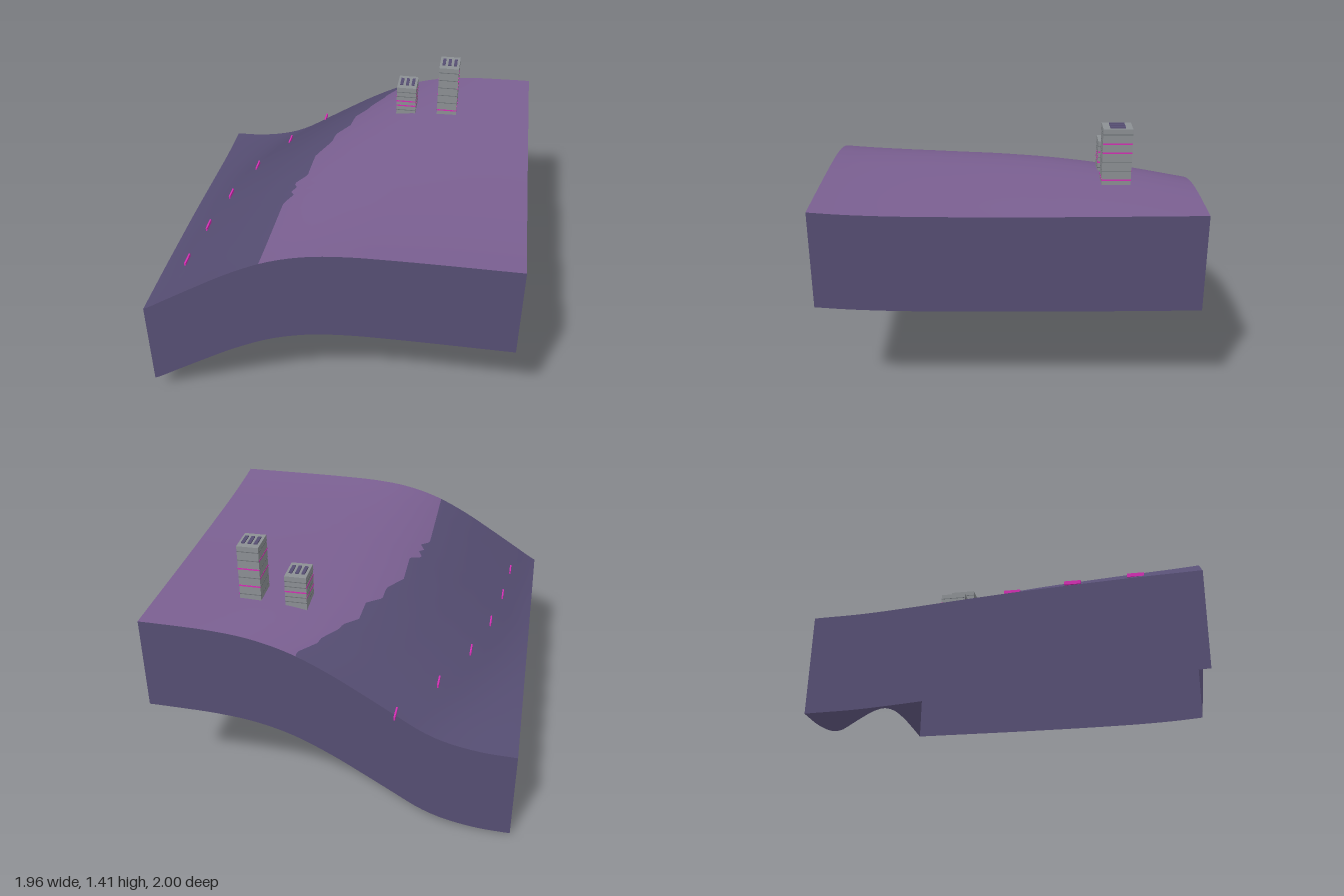
import * as THREE from 'three';

const X = 0.98, Z0 = -0.96, Z1 = 1.0, SKIRT = 0.52;
const ROWS = 98, HALF = 24, COLS = HALF * 2;

const interp = (Type, at, values) => {
  const f = new Type(new Float32Array(at), new Float32Array(values), 1);
  return (t) => f.evaluate(t)[0];
};

// Cross-section of the slope, its sideways shift along z, and a slight rise at the front
const slope = interp(THREE.CubicInterpolant,
  [-0.98, -0.8, -0.6, -0.48, -0.35, -0.2, 0, 0.2, 0.4, 0.6, 0.8, 1.5],
  [0, 0.008, 0.048, 0.098, 0.178, 0.272, 0.392, 0.488, 0.545, 0.569, 0.576, 0.58]);
const shift = interp(THREE.CubicInterpolant,
  [-0.96, -0.64, -0.31, 0.02, 0.35, 0.67, 1.0],
  [0, -0.18, -0.32, -0.405, -0.45, -0.48, -0.495]);
const rise = interp(THREE.CubicInterpolant,
  [-0.96, -0.2, 0.5, 0.7, 0.85, 1.0],
  [0.002, -0.005, -0.003, 0.002, 0.009, 0.02]);
const height = (x, z) => {
  const f = slope(x - shift(z));
  return SKIRT + f + rise(z) * f / 0.58;
};

// Ragged border between the two ground colours
const border = interp(THREE.LinearInterpolant,
  [-0.96, -0.93, -0.82, -0.78, -0.67, -0.63, -0.54, -0.4, -0.31, -0.21, -0.06, 0.17, 0.23, 0.28, 0.32, 0.36, 0.43, 1.0],
  [0.16, 0.16, 0.08, 0.07, 0, -0.01, -0.08, -0.09, -0.165, -0.17, -0.245, -0.245, -0.31, -0.285, -0.31, -0.285, -0.33, -0.33]);

const rowZ = (i) => Z0 + (Z1 - Z0) * i / ROWS;
const colX = (i, j) => {
  const b = border(rowZ(i));
  return j <= HALF ? -X + (b + X) * j / HALF : b + (X - b) * (j - HALF) / HALF;
};

function makeGeometry(pos, idx) {
  const g = new THREE.BufferGeometry();
  g.setAttribute('position', new THREE.Float32BufferAttribute(pos, 3));
  g.setIndex(idx);
  g.computeVertexNormals();
  return g;
}

// Smooth ground sheet; group 0 is the low side, group 1 the high side
function groundGeometry() {
  const pos = [], idx = [];
  for (let i = 0; i <= ROWS; i++)
    for (let j = 0; j <= COLS; j++) {
      const x = colX(i, j), z = rowZ(i);
      pos.push(x, height(x, z), z);
    }
  for (let half = 0; half < 2; half++)
    for (let i = 0; i < ROWS; i++)
      for (let j = half * HALF; j < (half + 1) * HALF; j++) {
        const a = i * (COLS + 1) + j, b = a + COLS + 1;
        idx.push(a, b, b + 1, a, b + 1, a + 1);
      }
  const g = makeGeometry(pos, idx);
  g.addGroup(0, idx.length / 2, 0);
  g.addGroup(idx.length / 2, idx.length / 2, 1);
  return g;
}

// Wall hanging below one edge of the ground
function wallGeometry(points) {
  const pos = [], idx = [];
  points.forEach(([x, z], i) => {
    const y = height(x, z);
    pos.push(x, y, z, x, Math.max(0, y - SKIRT), z);
    if (i) {
      const a = 2 * i - 2;
      idx.push(a, a + 1, a + 3, a, a + 3, a + 2);
    }
  });
  return makeGeometry(pos, idx);
}

export function createModel() {
  const group = new THREE.Group();
  const mat = (name, color, side = THREE.FrontSide) => {
    const m = new THREE.MeshStandardMaterial({ color, side });
    m.name = name;
    return m;
  };
  const slate = mat('slate violet', 0x564e73, THREE.DoubleSide);
  const plum = mat('plum', 0x7b6092, THREE.DoubleSide);
  const concrete = mat('concrete grey', 0x8c9094);
  const seam = mat('seam grey', 0x6c7075);
  const magenta = mat('magenta', 0xd42fb4);

  const add = (parent, name, geometry, material) => {
    const m = new THREE.Mesh(geometry, material);
    m.name = name;
    parent.add(m);
    return m;
  };
  const box = (parent, name, material, w, h, d, x, y, z) => {
    const m = add(parent, name, new THREE.BoxGeometry(w, h, d), material);
    m.position.set(x, y, z);
    return m;
  };

  // Ground and its four walls
  add(group, 'ground', groundGeometry(), [slate, plum]);
  const alongX = (i) => Array.from({ length: COLS + 1 }, (_, j) => [colX(i, j), rowZ(i)]);
  const alongZ = (x) => Array.from({ length: ROWS + 1 }, (_, i) => [x, rowZ(i)]);
  add(group, 'frontWall', wallGeometry(alongX(ROWS)), slate);
  add(group, 'backWall', wallGeometry(alongX(0).reverse()), slate);
  add(group, 'leftWall', wallGeometry(alongZ(X).reverse()), slate);
  add(group, 'rightWall', wallGeometry(alongZ(-X)), slate);

  // Markers following one contour of the slope
  [[-0.35, -0.957], [-0.53, -0.64], [-0.67, -0.305], [-0.755, 0.02], [-0.803, 0.345], [-0.83, 0.67]]
    .forEach(([x, z]) => box(group, 'contourMarker', magenta, 0.009, 0.02, 0.086, x, 0.707, z));

  // Towers: floor lines on each side, some lit, and roof slats
  const W = 0.116, D = 0.154, TZ = -0.547, BASE = 1.05;
  function tower(x, top, floors, lit) {
    const t = new THREE.Group();
    t.name = 'tower';
    group.add(t);
    box(t, 'towerBody', concrete, W, top - BASE, D, x, (top + BASE) / 2, TZ);
    floors.forEach((y, k) => {
      [['front', 0, 1], ['back', 0, -1], ['left', 1, 0], ['right', -1, 0]].forEach(([side, dx, dz]) => {
        const on = lit[side].includes(k);
        box(t, side + 'FloorLine', on ? magenta : seam,
          dx ? 0.002 : W, on ? 0.008 : 0.004, dz ? 0.002 : D,
          x + dx * W / 2, y, TZ + dz * D / 2);
      });
    });
    for (const o of [-0.034, 0, 0.034])
      box(t, 'roofSlat', slate, 0.018, 0.008, 0.08, x + o, top + 0.002, TZ);
  }
  tower(0.24, 1.25, [1.1, 1.13, 1.16, 1.19, 1.22],
    { front: [1, 2], back: [2], left: [1, 3], right: [1, 3] });
  tower(0.487, 1.4, [1.12, 1.17, 1.22, 1.27, 1.32, 1.37],
    { front: [0], back: [1, 3], left: [0, 3, 4], right: [2, 4] });

  return group;
}
